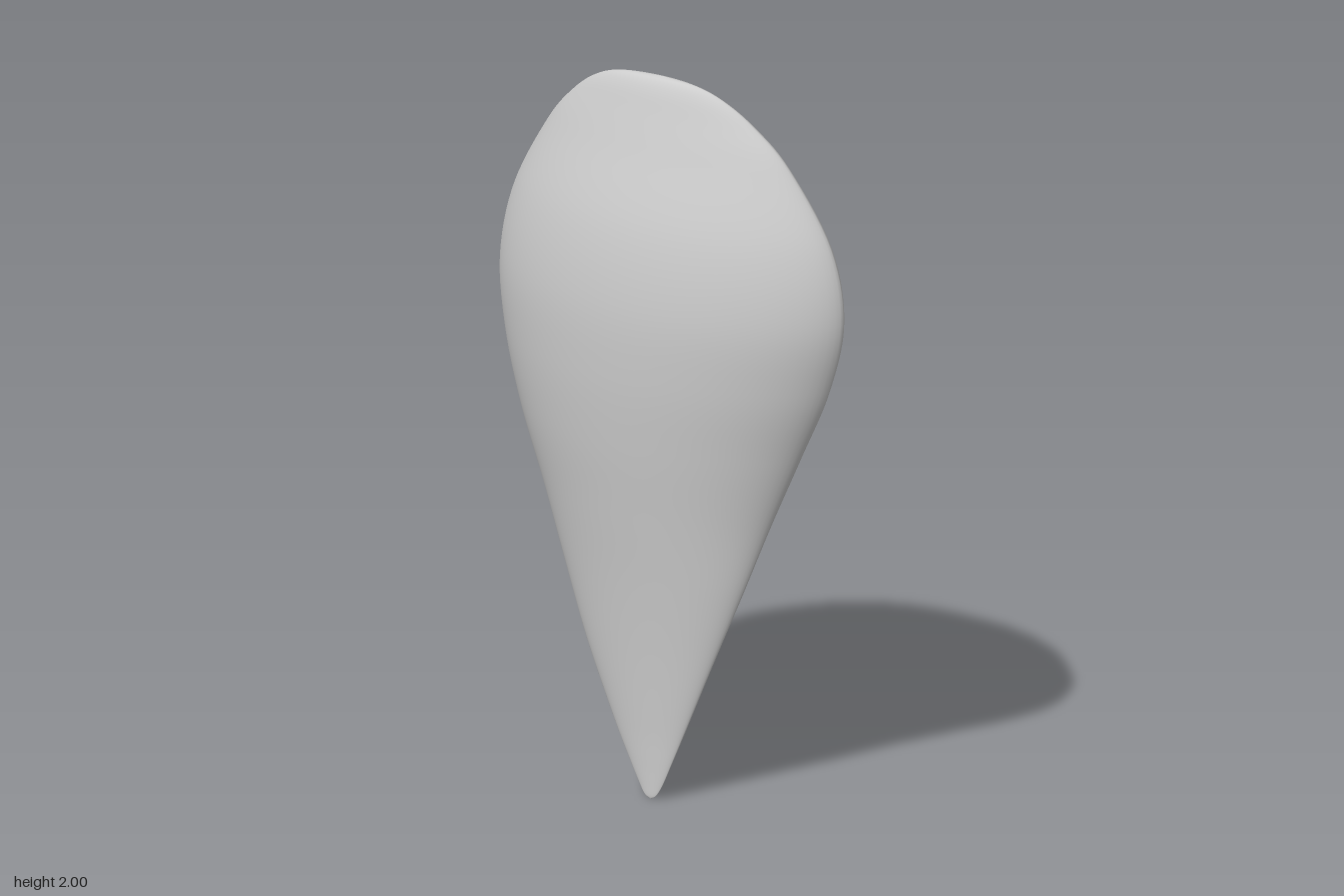
import * as THREE from 'three';
import { mergeVertices } from 'three/addons/utils/BufferGeometryUtils.js';

// Cross-sections from the pointed foot to the rounded top:
// y, front edge z, back edge z, right bulge x, left bulge x, x of the edges
const SECTIONS = [
  [0.00, 0.01, 0.01, -0.085, -0.085, -0.085],
  [0.01, 0.027, -0.010, -0.087, -0.079, -0.084],
  [0.04, 0.045, -0.032, -0.088, -0.065, -0.08],
  [0.10, 0.07, -0.068, -0.09, -0.042, -0.075],
  [0.20, 0.11, -0.125, -0.095, -0.01, -0.066],
  [0.40, 0.19, -0.225, -0.11, 0.03, -0.05],
  [0.60, 0.27, -0.31, -0.13, 0.075, -0.03],
  [0.80, 0.345, -0.395, -0.155, 0.125, -0.005],
  [1.00, 0.43, -0.48, -0.18, 0.175, 0.012],
  [1.20, 0.515, -0.54, -0.197, 0.199, 0.025],
  [1.40, 0.56, -0.56, -0.198, 0.196, 0.03],
  [1.60, 0.52, -0.515, -0.168, 0.175, 0.03],
  [1.80, 0.39, -0.40, -0.103, 0.122, 0.02],
  [1.90, 0.285, -0.31, -0.07, 0.078, 0.008],
  [1.96, 0.195, -0.225, -0.05, 0.037, -0.005],
  [1.99, 0.11, -0.135, -0.034, 0.005, -0.014],
  [2.00, 0.0, 0.0, -0.018, -0.018, -0.018],
];

function makeCurve(columns) {
  const points = SECTIONS.map((row) => new THREE.Vector3(...columns.map((c) => row[c])));
  return new THREE.CatmullRomCurve3(points, false, 'catmullrom', 0.5);
}

// Loft of rounded lens sections along y
function bladeGeometry(rings = 112, sides = 72) {
  const edges = makeCurve([0, 1, 2]);
  const bulges = makeCurve([3, 4, 5]);
  const positions = [];
  const indices = [];
  for (let i = 0; i <= rings; i++) {
    const { x: y, y: zFront, z: zBack } = edges.getPoint(i / rings);
    const { x: xRight, y: xLeft, z: xEdge } = bulges.getPoint(i / rings);
    for (let j = 0; j < sides; j++) {
      const a = (j / sides) * Math.PI * 2;
      const side = Math.sin(a);
      const bulge = Math.pow(Math.abs(side), 1.3);
      const x = xEdge + ((side > 0 ? xLeft : xRight) - xEdge) * bulge;
      const z = (zFront + zBack) / 2 + ((zFront - zBack) / 2) * Math.cos(a);
      positions.push(x, y, z);
      if (i === rings) continue;
      const k = (j + 1) % sides;
      const p = i * sides + j, q = i * sides + k;
      if (i > 0) indices.push(p, q, p + sides);
      if (i < rings - 1) indices.push(q, q + sides, p + sides);
    }
  }
  const geometry = new THREE.BufferGeometry();
  geometry.setAttribute('position', new THREE.Float32BufferAttribute(positions, 3));
  geometry.setIndex(indices);
  // Weld the two poles so shading stays smooth
  const welded = mergeVertices(geometry, 1e-5);
  welded.computeVertexNormals();
  return welded;
}

export function createModel() {
  const group = new THREE.Group();
  group.name = 'petal';
  const blade = new THREE.Mesh(bladeGeometry(), new THREE.MeshStandardMaterial({ color: 0xcccccc }));
  blade.name = 'petalBody';
  group.add(blade);
  return group;
}
